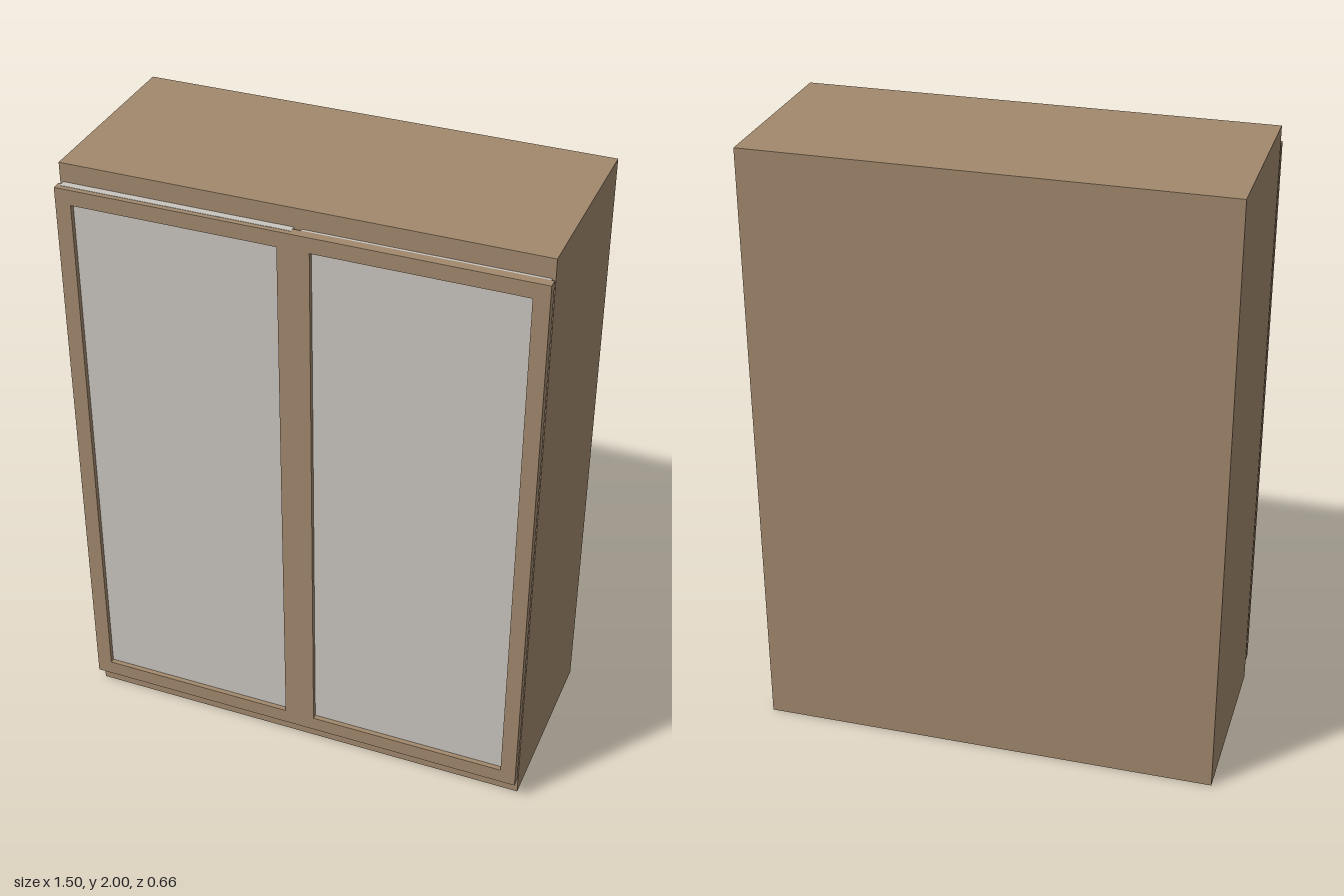
import * as THREE from 'three';

const wood = new THREE.MeshStandardMaterial({ color: 0xa2896d });
wood.name = 'wood';
const glass = new THREE.MeshStandardMaterial({ color: 0xc9c5be });
glass.name = 'frosted panel';

// Box given by its minimum and maximum corners
function box(name, material, min, max) {
  const size = max.map((v, i) => v - min[i]);
  const mesh = new THREE.Mesh(new THREE.BoxGeometry(...size), material);
  mesh.position.set(...max.map((v, i) => (v + min[i]) / 2));
  mesh.name = name;
  return mesh;
}

// Adds a closed rectangle to a shape or path
function rectangle(path, x0, y0, x1, y1) {
  path.moveTo(x0, y0);
  path.lineTo(x1, y0);
  path.lineTo(x1, y1);
  path.lineTo(x0, y1);
  path.closePath();
  return path;
}

export function createModel() {
  const model = new THREE.Group();
  model.name = 'wardrobe';

  // Cabinet body
  model.add(box('cabinetBody', wood, [-0.75, 0, -0.33], [0.75, 2, 0.29]));

  // Pair of door frames with one opening each, standing just off the body
  const outline = rectangle(new THREE.Shape(), -0.75, 0.065, 0.75, 1.938);
  for (const x of [-0.7, 0.05]) {
    outline.holes.push(rectangle(new THREE.Path(), x, 0.115, x + 0.65, 1.888));
  }
  const frame = new THREE.Mesh(
    new THREE.ExtrudeGeometry(outline, { depth: 0.03, bevelEnabled: false }), wood);
  frame.position.z = 0.3;
  frame.name = 'doorFrames';
  model.add(frame);

  // Recessed panels, reaching behind the frames; the left-hand one sits a hair higher
  model.add(box('rightDoorPanel', glass, [-0.74, 0.066, 0.29], [-0.012, 1.939, 0.314]));
  model.add(box('leftDoorPanel', glass, [0.012, 0.066, 0.29], [0.74, 1.937, 0.314]));

  return model;
}
